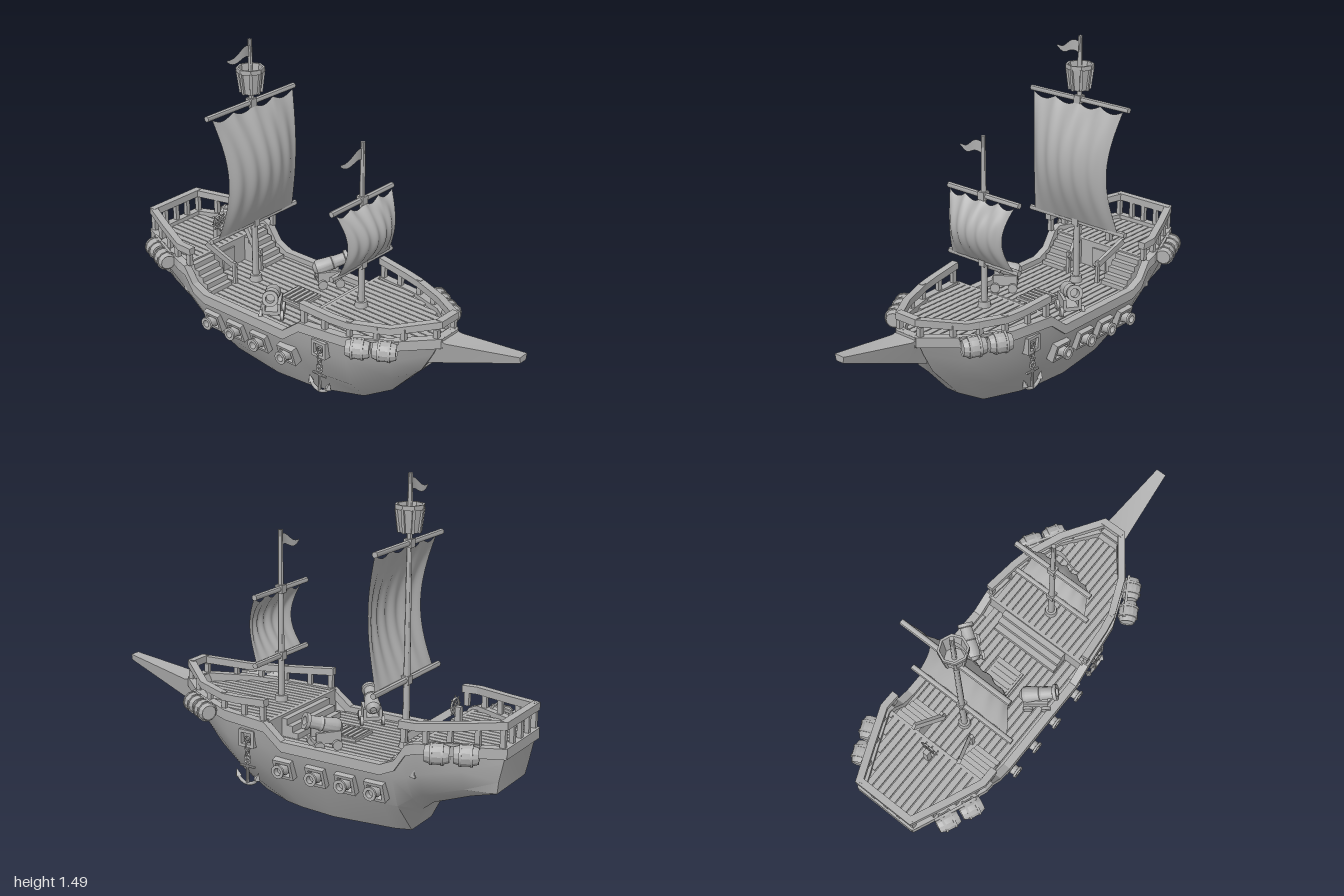
import * as THREE from 'three';
import { toCreasedNormals } from 'three/addons/utils/BufferGeometryUtils.js';

const grey = new THREE.MeshStandardMaterial({ color: 0xb0b0b0, side: THREE.DoubleSide });
grey.name = 'plainGrey';

// Hull stations, stern to bow: bottom, low, high and gunwale points [x, y, z]
const stations = [
  [[.13, .265, -.955], [.14, .32, -.965], [.145, .4, -.98], [.15, .47, -1]],
  [[.10, .22, -.83], [.17, .27, -.83], [.21, .36, -.835], [.22, .47, -.84]],
  [[.10, .155, -.66], [.2, .22, -.66], [.265, .33, -.67], [.29, .47, -.67]],
  [[.09, .11, -.605], [.21, .2, -.62], [.272, .31, -.62], [.29, .455, -.625]],
  [[.085, 0, -.55], [.21, .15, -.55], [.275, .29, -.56], [.29, .38, -.575]],
  [[.11, 0, -.48], [.22, .15, -.48], [.277, .29, -.49], [.29, .35, -.51]],
  [[.145, 0, -.2], [.222, .14, -.2], [.28, .3, -.2], [.29, .35, -.2]],
  [[.13, 0, -.03], [.215, .14, -.03], [.277, .3, -.03], [.29, .35, -.03]],
  [[.11, 0, .06], [.2, .14, .06], [.27, .3, .06], [.287, .42, .06]],
  [[.04, 0, .22], [.165, .13, .25], [.24, .3, .28], [.262, .425, .28]],
  [[.032, .09, .37], [.1, .2, .42], [.165, .32, .45], [.19, .44, .47]],
  [[.028, .22, .49], [.04, .26, .53], [.05, .36, .59], [.055, .46, .64]],
];
const gunwale = stations.map(s => s[3]);

function halfWidth(z) {
  for (let i = 1; i < gunwale.length; i++) {
    const [a, , za] = gunwale[i - 1], [b, , zb] = gunwale[i];
    if (z <= zb) return a + (b - a) * Math.max(0, (z - za) / (zb - za));
  }
  return gunwale.at(-1)[0];
}

function add(parent, name, geo, x = 0, y = 0, z = 0, rx = 0, ry = 0, rz = 0) {
  const m = new THREE.Mesh(geo, grey);
  m.name = name;
  m.position.set(x, y, z);
  m.rotation.set(rx, ry, rz);
  parent.add(m);
  return m;
}
const box = (p, name, w, h, d, ...at) => add(p, name, new THREE.BoxGeometry(w, h, d), ...at);
const rod = (p, name, r1, r2, h, n, ...at) =>
  add(p, name, toCreasedNormals(new THREE.CylinderGeometry(r1, r2, h, n), .9), ...at);

function group(parent, name, x = 0, y = 0, z = 0) {
  const g = new THREE.Group();
  g.name = name;
  g.position.set(x, y, z);
  parent.add(g);
  return g;
}

// Skin a row of equal cross-sections and cap both ends
function loft(rings, closed, crease = .6) {
  const n = rings[0].length, idx = [];
  for (let i = 0; i < rings.length - 1; i++)
    for (let j = 0; j < (closed ? n : n - 1); j++) {
      const a = i * n + j, b = i * n + (j + 1) % n;
      idx.push(a, b, a + n, b, b + n, a + n);
    }
  const last = (rings.length - 1) * n;
  for (let j = 1; j < n - 1; j++) idx.push(0, j + 1, j, last, last + j, last + j + 1);
  const g = new THREE.BufferGeometry();
  g.setAttribute('position', new THREE.Float32BufferAttribute(rings.flat(2), 3));
  g.setIndex(idx);
  return toCreasedNormals(g, crease);
}

// Rectangular band along a path of outer top points
function band(path, h, t) {
  return loft(path.map(([x, y, z], i) => {
    const a = path[Math.max(0, i - 1)], b = path[Math.min(path.length - 1, i + 1)];
    const dx = b[0] - a[0], dz = b[2] - a[2], l = Math.hypot(dx, dz);
    const xi = x - t * dz / l, zi = z + t * dx / l;
    return [[x, y, z], [x, y - h, z], [xi, y - h, zi], [xi, y, zi]];
  }), true, .3);
}

// Deck plate with raised planks trimmed to the hull outline
function deck(parent, name, y, z0, z1) {
  const g = group(parent, name), zs = [], inset = .02;
  for (let i = 0; i <= 40; i++) zs.push(z0 + (z1 - z0) * i / 40);
  const pts = [...zs.map(z => [halfWidth(z) - inset, z]), ...zs.slice().reverse().map(z => [inset - halfWidth(z), z])];
  const shape = new THREE.Shape(pts.map(([x, z]) => new THREE.Vector2(x, -z)));
  add(g, 'deckBase', new THREE.ShapeGeometry(shape), 0, y - .008, 0, -Math.PI / 2);
  for (let k = -8; k <= 8; k++) {
    const ok = zs.filter(z => halfWidth(z) - inset > Math.abs(k * .032) + .013);
    if (ok.length < 2) continue;
    const a = ok[0], b = ok.at(-1);
    box(g, 'plank', .027, .012, b - a, k * .032, y - .006, (a + b) / 2);
  }
}

function barrel(parent, x, y, z, angle) {
  const g = group(parent, 'barrel', x, y, z);
  g.rotation.set(Math.PI / 2, 0, -angle, 'YXZ');
  g.rotation.set(Math.PI / 2, angle, 0, 'YXZ');
  const prof = [[0, -.044], [.033, -.044], [.033, -.05], [.043, -.02], [.043, .02], [.033, .05], [.033, .044], [0, .044]];
  const geo = new THREE.LatheGeometry(prof.map(p => new THREE.Vector2(...p)), 12);
  add(g, 'staves', toCreasedNormals(geo, .45));
  for (const s of [-.022, .022]) rod(g, 'hoop', .046, .046, .01, 12, 0, s);
}

function gunBarrel(parent, len, r) {
  const p = [[0, 0], [r * .4, 0], [r * .4, -.012], [r * .9, .004], [r, .02], [r * .85, len * .5], [r * .95, len * .52],
    [r * .8, len * .58], [r * .75, len * .88], [r, len * .9], [r, len], [r * .55, len], [r * .55, len * .75], [0, len * .75]];
  const geo = new THREE.LatheGeometry(p.map(q => new THREE.Vector2(...q)), 14);
  return add(parent, 'gunBarrel', toCreasedNormals(geo, .5));
}

// Everything that repeats on both sides, modelled on +x
function buildSide(side) {
  add(side, 'gunwale', band(gunwale.map(([x, y, z]) => [x + .004, y, z]), .045, .036));
  const rails = {
    foreRail: [[.285, .515, .06], [.27, .5, .22], [.255, .495, .3], [.185, .5, .47], [.055, .54, .64]],
    aftRail: [[.15, .58, -1], [.22, .565, -.84], [.29, .553, -.67], [.29, .55, -.59]],
  };
  for (const [name, path] of Object.entries(rails)) add(side, name, band(path, .032, .032));
  for (const z of [.075, .18, .3, .41, .51, .615, -.61, -.7, -.79, -.89, -.98])
    box(side, 'railPost', .02, .085, .022, halfWidth(z) - .017, z > 0 ? .455 : .502, z);

  // Gun ports
  for (const z of [-.027, -.19, -.335, -.477]) {
    const port = group(side, 'gunPort', .256, .222, z), frame = group(port, 'portFrame');
    frame.rotation.z = -.3;
    for (const s of [-1, 1]) {
      box(frame, 'frameSide', .04, .09, .014, 0, 0, s * .038);
      box(frame, 'frameEdge', .04, .014, .09, 0, s * .038, 0);
    }
    const gun = gunBarrel(port, .1, .03);
    gun.rotation.z = -Math.PI / 2;
    gun.position.x = -.04;
  }

  // Anchor on a chain
  const anchor = group(side, 'anchor', .268, 0, .16);
  for (const s of [-1, 1]) {
    box(anchor, 'hawseFrame', .04, .075, .014, -.01, .322, s * .032);
    box(anchor, 'hawseFrame', .04, .014, .075, -.01, .322 + s * .032, 0);
  }
  for (let i = 0; i < 5; i++)
    add(anchor, 'chainLink', new THREE.TorusGeometry(.012, .004, 6, 10), 0, .315 - i * .019, 0, 0, i % 2 ? 0 : Math.PI / 2);
  add(anchor, 'anchorRing', new THREE.TorusGeometry(.014, .005, 6, 12), 0, .222, 0, 0, Math.PI / 2);
  rod(anchor, 'shank', .006, .008, .1, 8, 0, .162);
  rod(anchor, 'stock', .006, .006, .075, 8, 0, .195, 0, Math.PI / 2);
  add(anchor, 'arms', new THREE.TorusGeometry(.055, .008, 6, 14, 2.4), 0, .17, 0, 0, Math.PI / 2, -Math.PI / 2 - 1.2);
  for (const s of [-1, 1]) rod(anchor, 'fluke', 0, .017, .035, 4, 0, .158, s * .053, s * .3);

  // Barrels hung outboard
  for (const [x0, z0, x1, z1, y] of [[.278, .378, .222, .475, .412], [.24, -.87, .285, -.765, .445]]) {
    const a = Math.atan2(x1 - x0, z1 - z0);
    barrel(side, x0, y, z0, a);
    barrel(side, x1, y, z1, a);
    box(side, 'barrelRope', .012, .012, .2, (x0 + x1) / 2 - .02, y + .035, (z0 + z1) / 2, 0, a);
  }

  // Deck cannon on a wheeled carriage
  const cannon = group(side, 'deckCannon', .195, .325, -.18);
  cannon.rotation.y = .92;
  const gun = gunBarrel(cannon, .16, .036);
  gun.position.set(0, .085, -.07);
  gun.rotation.x = Math.PI / 2 - .28;
  for (const s of [-1, 1]) {
    box(cannon, 'carriageCheek', .014, .05, .11, s * .034, .055, -.01);
    for (const z of [-.045, .035]) rod(cannon, 'wheel', .022, .022, .014, 12, s * .047, .022, z, 0, 0, Math.PI / 2);
  }
  box(cannon, 'carriageBed', .06, .018, .11, 0, .035, -.01);

  // Stairs to the aft deck
  for (let i = 0; i < 5; i++) box(side, 'stair', .13, .025 * (i + 1), .026, .175, .32 + .0125 * (i + 1), -.525 - i * .026);
  box(side, 'stairRail', .016, .03, .18, .1, .45, -.58, .65, -.3);
  box(side, 'stairPost', .016, .12, .016, .085, .37, -.515);
}

function flag(parent, y) {
  const geo = new THREE.PlaneGeometry(1, 1, 14, 2), p = geo.attributes.position;
  for (let i = 0; i < p.count; i++) {
    const u = .5 - p.getX(i), v = p.getY(i);
    p.setXYZ(i, -u * .135, v * .05 * (1 - .85 * u ** 2) + .012 * Math.sin(u * 6.3) - .012 * u, .006 * Math.sin(u * 5));
  }
  geo.computeVertexNormals();
  add(parent, 'flag', geo, 0, y, 0);
}

function sail(parent, name, half, y0, y1, bulge) {
  const geo = new THREE.PlaneGeometry(2, 1, 48, 24), p = geo.attributes.position;
  for (let i = 0; i < p.count; i++) {
    const u = p.getX(i), v = p.getY(i) + .5, belly = Math.sin(Math.PI * v);
    const scallop = .022 * Math.abs(Math.sin(u * Math.PI * 2)) * v ** 6;
    p.setXYZ(i, u * half * (.95 + .05 * v - .14 * belly), y0 + v * (y1 - y0) - scallop,
      .012 + belly * bulge * (.55 + .45 * (1 - u * u)) + .004 * Math.cos(u * 17 + v * 2) * (.3 + belly));
  }
  geo.computeVertexNormals();
  add(parent, name, geo);
}

function mast(parent, name, z, base, top, half, low, high, bulge) {
  const g = group(parent, name, 0, 0, z);
  rod(g, 'pole', .01, .016, top - base, 10, 0, (top + base) / 2);
  for (const y of [low, high]) {
    rod(g, 'yard', .013, .013, half * 2, 8, 0, y, 0, 0, 0, Math.PI / 2);
    box(g, 'yardCollar', .034, .036, .036, 0, y, 0);
  }
  rod(g, 'mastFoot', .026, .03, .03, 10, 0, base + .02);
  sail(g, 'sail', half * .92, low + .005, high - .008, bulge);
  flag(g, top - .055);
  return g;
}

export function createModel() {
  const ship = new THREE.Group();
  ship.name = 'sailingShip';

  // Hull skin
  const rings = stations.map(s => [...s.slice().reverse(), ...s.map(([x, y, z]) => [-x, y, z])]);
  add(ship, 'hull', loft(rings, false, .55));
  add(ship, 'bowsprit', loft([
    [[.058, .455, .6], [-.058, .455, .6], [-.03, .3, .55], [.03, .3, .55]],
    [[.058, .445, .66], [-.058, .445, .66], [-.035, .345, .66], [.035, .345, .66]],
    [[.025, .5, 1], [-.025, .5, 1], [-.02, .472, 1], [.02, .472, 1]]], true, .4));

  // Decks, bulkheads and fore steps
  deck(ship, 'mainDeck', .325, -.66, .06);
  deck(ship, 'foreDeck', .418, .05, .625);
  deck(ship, 'aftDeck', .452, -.98, -.645);
  box(ship, 'foreBulkhead', .53, .1, .015, 0, .368, .055);
  box(ship, 'aftBulkhead', .54, .13, .015, 0, .387, -.65);
  box(ship, 'cabinDoor', .075, .1, .01, 0, .375, -.64);
  for (let i = 0; i < 3; i++) box(ship, 'foreStep', .34, .028 * (i + 1), .028, 0, .322 + .014 * (i + 1), -.022 + i * .028);
  box(ship, 'hatch', .14, .012, .135, 0, .332, -.195);
  for (let i = -2; i <= 2; i++) box(ship, 'hatchSlat', .12, .006, .016, 0, .34, -.195 + i * .025);

  // Cross rails closing the bow and stern
  box(ship, 'sternRail', .3, .033, .032, 0, .563, -.984);
  box(ship, 'sternGunwale', .3, .045, .036, 0, .448, -.984);
  box(ship, 'bowRail', .11, .032, .032, 0, .524, .624);
  box(ship, 'bowGunwale', .11, .045, .036, 0, .437, .624);
  for (const x of [-.07, 0, .07]) box(ship, 'sternPost', .02, .085, .02, x, .505, -.984);

  // Steering wheel
  const helm = group(ship, 'helm', 0, .45, -.71);
  box(helm, 'helmPost', .024, .1, .024, 0, .05, 0);
  add(helm, 'helmWheel', new THREE.TorusGeometry(.032, .005, 6, 16), 0, .1, .018);
  for (let i = 0; i < 4; i++) rod(helm, 'spoke', .003, .003, .09, 6, 0, .1, .018, 0, 0, i * Math.PI / 4);

  const left = group(ship, 'leftSide'), right = group(ship, 'rightSide');
  buildSide(left);
  buildSide(right);
  right.scale.x = -1;

  // Masts, sails and lookout
  mast(ship, 'foreMast', .165, .41, 1.185, .198, .625, .925, .078);
  const main = mast(ship, 'mainMast', -.465, .32, 1.485, .273, .622, 1.2, .092);
  const nest = group(main, 'crowsNest', 0, 1.245, 0);
  const prof = [[0, 0], [.044, 0], [.057, .095], [.063, .095], [.063, .115], [.053, .115], [.04, .015], [0, .015]];
  add(nest, 'basket', toCreasedNormals(new THREE.LatheGeometry(prof.map(q => new THREE.Vector2(...q)), 8), .3));
  for (let i = 0; i < 8; i++) {
    const a = i * Math.PI / 4;
    box(nest, 'basketRib', .012, .1, .01, Math.sin(a) * .052, .05, Math.cos(a) * .052, .13, a, 0).rotation.order = 'YXZ';
  }
  return ship;
}
